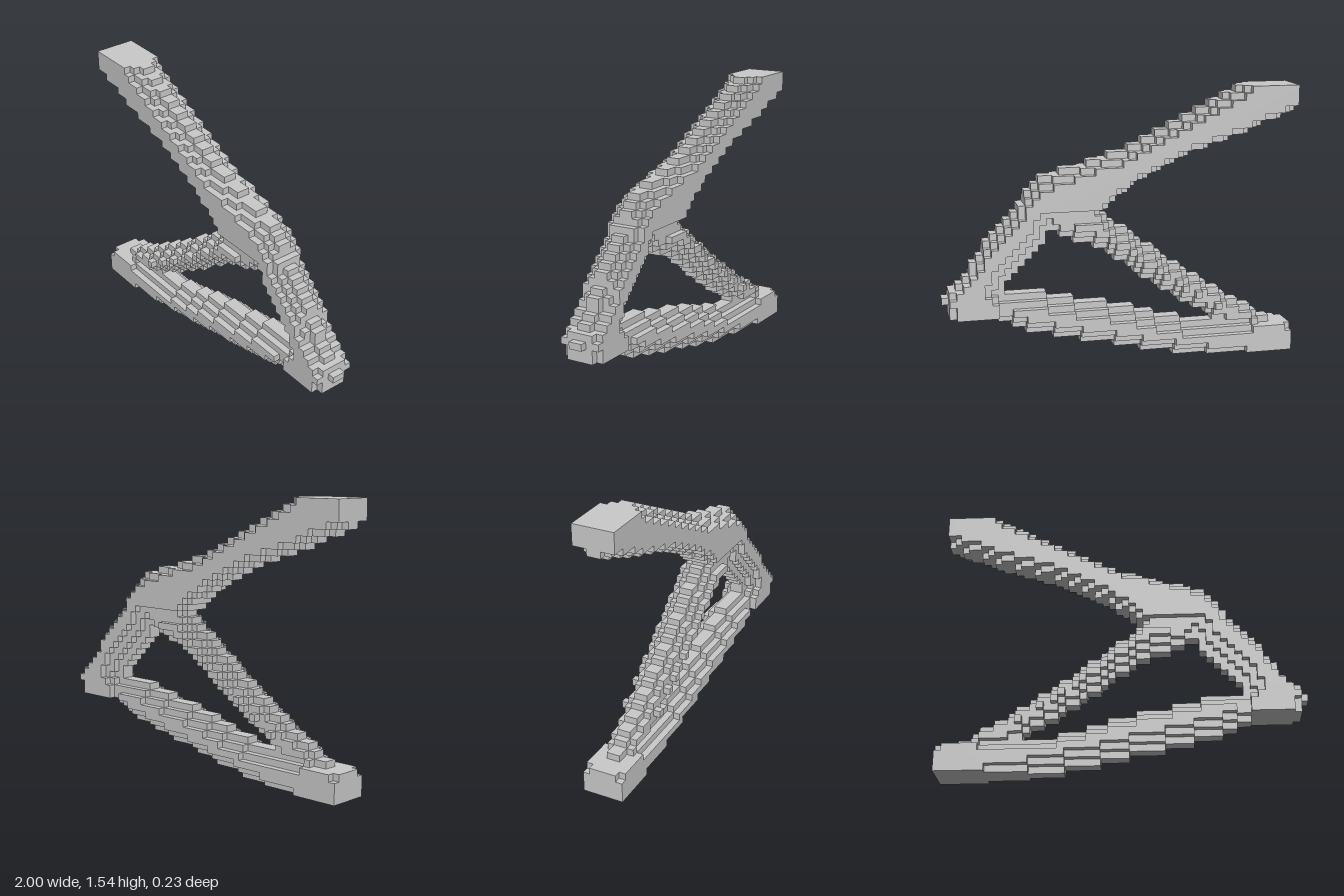
import * as THREE from 'three';

// Block grid: 52 x 40 x 6 cells
const NX = 52, NY = 40, NZ = 6, S = 2 / NX;

// Each bar runs along one axis; stations are [position, low edge, high edge].
// inset: how many cells the low and high edges close in per layer away from the middle.
const BARS = [
  { name: 'upperArm', along: 'x', inset: [0.5, 0.75], stations: [
    [-1, 1.4, 1.75], [-0.66, 1.26, 1.53], [-0.38, 1.17, 1.375], [-0.05, 1, 1.21],
    [0.15, 0.84, 1.15], [0.46, 0.84, 1.06], [0.57, 0.84, 0.92]] },
  { name: 'frontLeg', along: 'y', inset: [1.7, 0.7], stations: [
    [0.3, 0.56, 0.98], [0.38, 0.56, 0.98], [0.385, 0.58, 1], [0.43, 0.65, 1],
    [0.47, 0.65, 0.93], [0.56, 0.59, 0.85], [0.7, 0.44, 0.765], [0.9, 0.3, 0.575]] },
  { name: 'foot', along: 'x', inset: [0, 0.3], stations: [
    [-1, 0, 0.15], [-0.96, 0, 0.16], [-0.77, 0, 0.17]] },
  { name: 'lowerBeam', along: 'x', inset: [1, 1], stations: [
    [-1, -0.1, 0.155], [-0.52, -0.02, 0.2], [-0.33, 0.017, 0.212], [0.03, 0.09, 0.315],
    [0.5, 0.2, 0.42], [0.63, 0.25, 0.435], [0.69, 0.29, 0.44], [0.97, 0.305, 0.44]] },
  { name: 'diagonalStrut', along: 'x', inset: [1, 1], stations: [
    [-0.9, 0.1, 0.165], [-0.6, 0.18, 0.34], [-0.3, 0.36, 0.54],
    [0.15, 0.68, 0.88], [0.3, 0.715, 0.88], [0.34, 0.755, 0.88], [0.39, 0.755, 0.88]] },
];

// Is point (x, y) within a bar, in the layer that lies k steps from the middle?
function inBar({ along, inset, stations }, x, y, k) {
  const [t, w] = along === 'x' ? [x, y] : [y, x];
  const i = stations.findIndex((s, n) => n > 0 && t >= stations[n - 1][0] && t <= s[0]);
  if (i < 0) return false;
  const [t0, low0, high0] = stations[i - 1], [t1, low1, high1] = stations[i];
  const f = (t - t0) / (t1 - t0);
  const low = THREE.MathUtils.lerp(low0, low1, f) + inset[0] * k * S;
  const high = THREE.MathUtils.lerp(high0, high1, f) - inset[1] * k * S;
  return w > low && w < high;
}

const key = (ix, iy, iz) => ix + ',' + iy + ',' + iz;

// Fill the grid: each cell belongs to the first bar that covers its centre
function fillCells() {
  const cells = new Map();
  for (let iz = 0; iz < NZ; iz++) {
    const k = Math.floor(Math.abs(iz - (NZ - 1) / 2));
    for (let ix = 0; ix < NX; ix++) for (let iy = 0; iy < NY; iy++) {
      const bar = BARS.find((b) => inBar(b, (ix + 0.5) * S - 1, (iy + 0.5) * S, k));
      if (bar) cells.set(key(ix, iy, iz), { at: [ix, iy, iz], name: bar.name });
    }
  }
  return cells;
}

// Exposed faces of all cells that belong to one bar
function barGeometry(cells, name) {
  const positions = [], normals = [];
  for (const cell of cells.values()) {
    if (cell.name !== name) continue;
    for (let axis = 0; axis < 3; axis++) for (const side of [-1, 1]) {
      const n = [0, 0, 0];
      n[axis] = side;
      if (cells.has(key(...cell.at.map((c, i) => c + n[i])))) continue;
      const corner = (a, b) => {
        const p = [...cell.at];
        if (side > 0) p[axis] += 1;
        p[(axis + 1) % 3] += a;
        p[(axis + 2) % 3] += b;
        return [p[0] * S - 1, p[1] * S, (p[2] - NZ / 2) * S];
      };
      const quad = [corner(0, 0), corner(1, 0), corner(1, 1), corner(0, 1)];
      if (side < 0) quad.reverse();
      for (const i of [0, 1, 2, 0, 2, 3]) {
        positions.push(...quad[i]);
        normals.push(...n);
      }
    }
  }
  const geometry = new THREE.BufferGeometry();
  geometry.setAttribute('position', new THREE.Float32BufferAttribute(positions, 3));
  geometry.setAttribute('normal', new THREE.Float32BufferAttribute(normals, 3));
  return geometry;
}

export function createModel() {
  const group = new THREE.Group();
  group.name = 'steppedBracket';
  const grey = new THREE.MeshStandardMaterial({ color: 0xcacaca });
  grey.name = 'grey';

  const cells = fillCells();
  for (const { name } of BARS) {
    const mesh = new THREE.Mesh(barGeometry(cells, name), grey);
    mesh.name = name;
    group.add(mesh);
  }
  return group;
}
